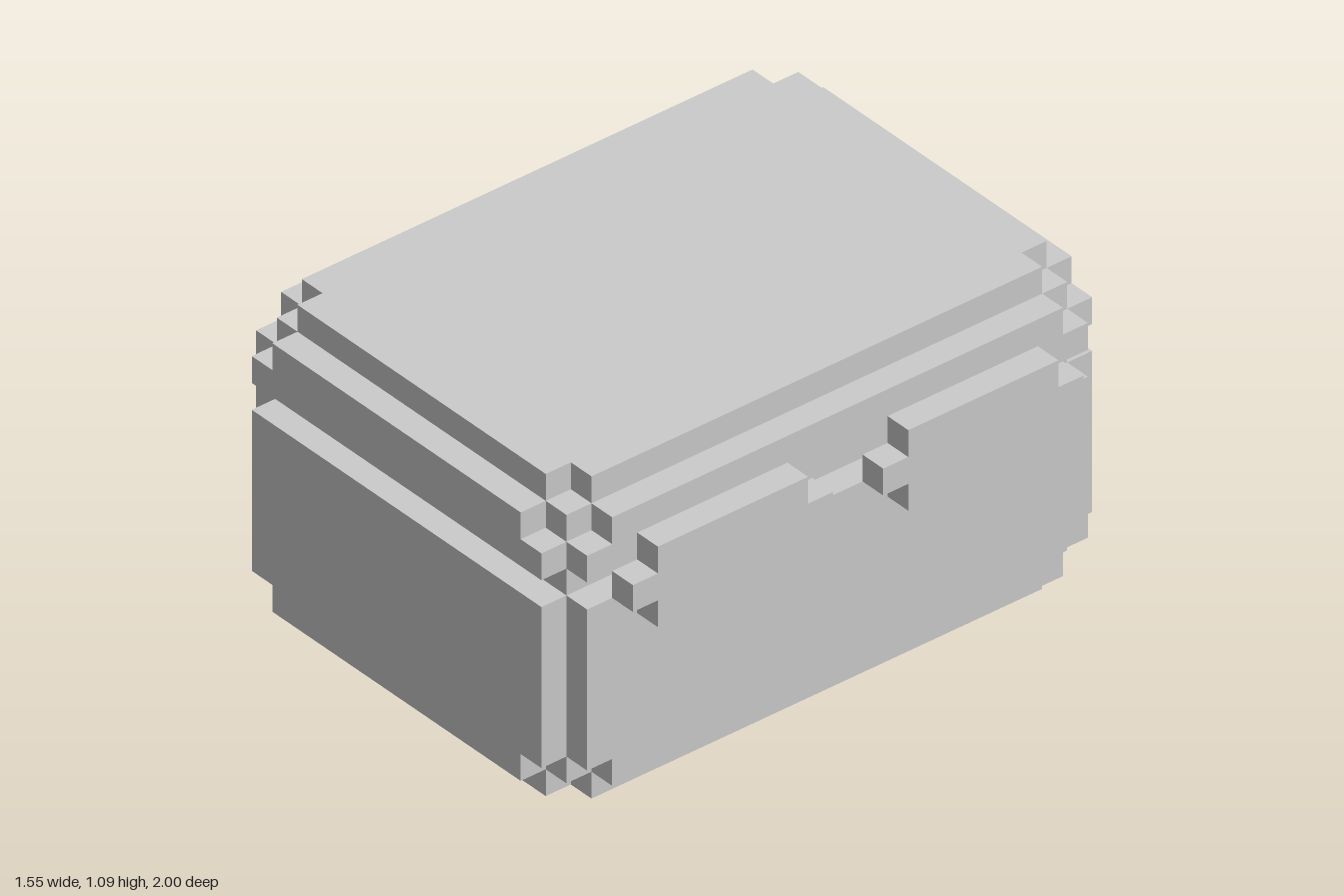
import * as THREE from 'three';

// All parts are laid out in whole blocks, 11 blocks to one unit.
const BLOCK = 1 / 11;
const material = new THREE.MeshStandardMaterial({ color: 0xcccccc, flatShading: true });

function addMesh(parent, name, geometry) {
  const mesh = new THREE.Mesh(geometry, material);
  mesh.name = name;
  parent.add(mesh);
  return mesh;
}

function addBox(parent, name, [x0, x1], [y0, y1], [z0, z1]) {
  const mesh = addMesh(parent, name, new THREE.BoxGeometry(x1 - x0, y1 - y0, z1 - z0));
  mesh.position.set((x0 + x1) / 2, (y0 + y1) / 2, (z0 + z1) / 2);
}

// One-block-thick panel; b and t are the corner notch sizes at its bottom and top
function panel(halfWidth, y0, y1, b, t) {
  const h = halfWidth;
  const outline = [
    [-h + b, y0], [h - b, y0], [h - b, y0 + b], [h, y0 + b],
    [h, y1 - t], [h - t, y1 - t], [h - t, y1], [-h + t, y1],
    [-h + t, y1 - t], [-h, y1 - t], [-h, y0 + b], [-h + b, y0 + b],
  ];
  // drop the repeated points of corners without a notch
  const points = outline
    .filter(([x, y], i) => i === 0 || x !== outline[i - 1][0] || y !== outline[i - 1][1])
    .map(([x, y]) => new THREE.Vector2(x, y));
  if (points[0].equals(points[points.length - 1])) points.pop();
  return new THREE.ExtrudeGeometry(new THREE.Shape(points), { depth: 1, bevelEnabled: false });
}

export function createModel() {
  const model = new THREE.Group();
  model.name = 'chest';

  // Chest without latches, centred slightly to the right
  const chest = new THREE.Group();
  chest.name = 'chestBody';
  chest.position.x = -0.5;
  model.add(chest);
  addBox(chest, 'core', [-7, 7], [1, 11], [-10, 10]);

  // Wall and lid rim panels on all four sides, with the groove left between
  const sides = ['front', 'left', 'back', 'right'];
  sides.forEach((side, i) => {
    const alongX = i % 2 === 0;
    const halfWidth = alongX ? 7 : 10;
    const distance = alongX ? 10 : 7;
    const wall = panel(halfWidth, 1, 8, 1, 0);
    const rim = panel(halfWidth, 9, 11, 0, 1);
    for (const [part, geometry] of [['Wall', wall], ['LidRim', rim]]) {
      geometry.translate(0, 0, distance).rotateY(i * Math.PI / 2);
      addMesh(chest, side + part, geometry);
    }
  });

  // Lid top and base plates
  for (const [name, y] of [['lidTop', 11], ['base', 0]]) {
    const plate = panel(7, -10, 10, 1, 1).rotateX(-Math.PI / 2).translate(0, y, 0);
    addMesh(chest, name, plate);
  }

  // Pair of latches on the left side: a tall plate with a tab at each end
  for (const s of [1, -1]) {
    const latch = new THREE.Group();
    latch.name = s > 0 ? 'frontLatch' : 'backLatch';
    const span = (a, b) => (s > 0 ? [a, b] : [-b, -a]);
    addBox(latch, 'latchPlate', [7.5, 8.5], [7, 10], span(2, 8));
    addBox(latch, 'innerTab', [7.5, 8.5], [8, 9], span(1, 2));
    addBox(latch, 'outerTab', [7.5, 8.5], [8, 9], span(8, 9));
    model.add(latch);
  }

  model.scale.setScalar(BLOCK);
  return model;
}
